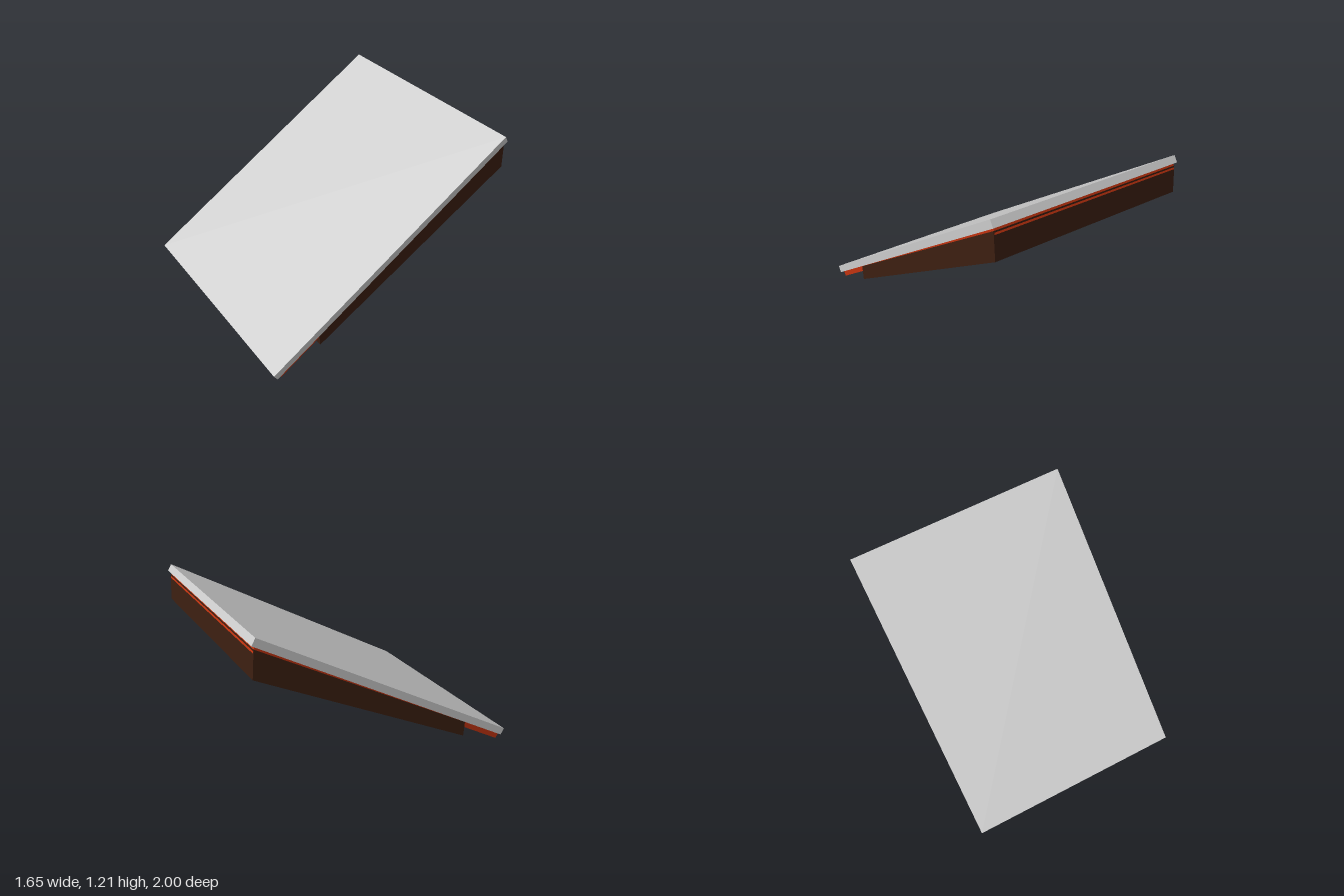
import * as THREE from 'three';

// Extrudes a side profile, given as [z, y] corners, across the width from x0 to x1.
function slab(name, color, profile, x0, x1) {
  const shape = new THREE.Shape(profile.map(([z, y]) => new THREE.Vector2(-z, y)));
  const geometry = new THREE.ExtrudeGeometry(shape, { depth: x1 - x0, bevelEnabled: false });
  geometry.rotateY(Math.PI / 2).translate(x0, 0, 0);
  const mesh = new THREE.Mesh(geometry, new THREE.MeshStandardMaterial({ color, flatShading: true }));
  mesh.name = name;
  return mesh;
}

export function createModel() {
  const model = new THREE.Group();
  model.name = 'slopedPanel';
  model.add(
    // tilted top board
    slab('topPanel', 0xcccccc, [[1, 0.07], [0.973, 0.023], [-1, 1.162], [-0.973, 1.209]], -0.825, 0.825),
    // thin red lining under the board
    slab('redLining', 0xc2330f, [[0.955, 0.034], [0.933, 0], [-0.99, 1.112], [-0.978, 1.149]], -0.815, 0.805),
    // dark wedge-shaped body, deeper towards the back
    slab('darkBody', 0x3c1f11, [[0.62, 0.224], [0.613, 0.113], [-1, 0.944], [-0.985, 1.136]], -0.818, 0.81)
  );
  return model;
}
